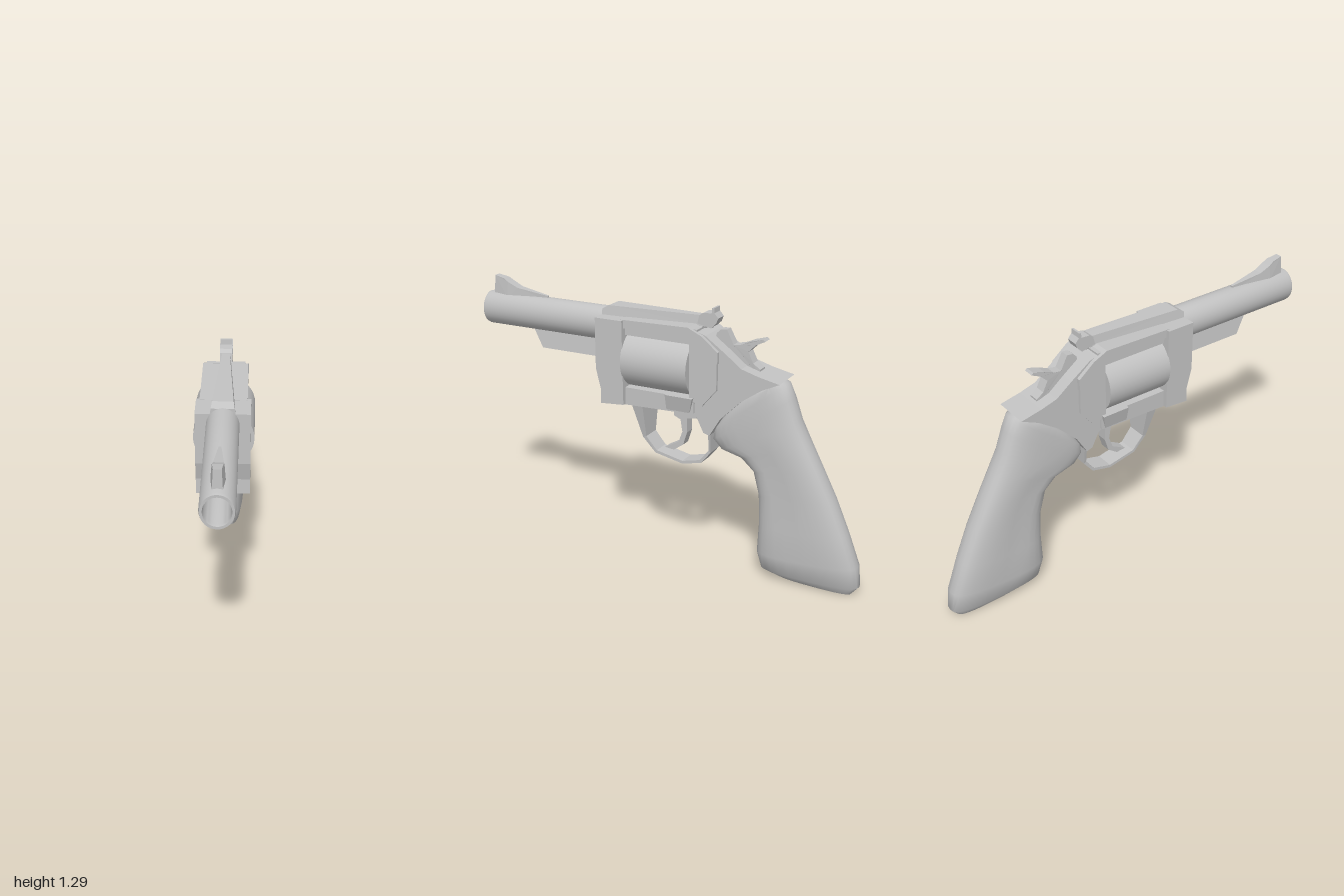
import * as THREE from 'three';
import { toCreasedNormals } from 'three/addons/utils/BufferGeometryUtils.js';

export function createModel() {
  const model = new THREE.Group();
  const steel = new THREE.MeshStandardMaterial({ color: 0xc2c2c2 });
  steel.name = 'light grey';

  const add = (name, geometry) => {
    const mesh = new THREE.Mesh(geometry, steel);
    mesh.name = name;
    model.add(mesh);
    return mesh;
  };

  // Side outline of [z, y] points, spread across x; width may vary with z and y
  const slab = (name, points, halfWidth) => {
    const shape = new THREE.Shape(points.map(([z, y]) => new THREE.Vector2(z, y)));
    const g = new THREE.ExtrudeGeometry(shape, { depth: 2, bevelEnabled: false });
    g.translate(0, 0, -1).rotateY(-Math.PI / 2);
    const p = g.attributes.position;
    for (let i = 0; i < p.count; i++) {
      const w = typeof halfWidth === 'function' ? halfWidth(p.getZ(i), p.getY(i)) : halfWidth;
      p.setX(i, Math.sign(p.getX(i)) * w);
    }
    g.computeVertexNormals();
    return add(name, g);
  };
  const mix = (v, a, b, wa, wb) =>
    THREE.MathUtils.lerp(wa, wb, THREE.MathUtils.clamp((v - a) / (b - a), 0, 1));

  // Hollow barrel, slightly taller than wide
  const barrel = new THREE.LatheGeometry([
    [0.083, 0.3], [0.083, 0.985], [0.079, 0.998], [0.067, 0.998], [0.064, 0.985], [0.06, 0.5], [0, 0.5],
  ].map(([r, z]) => new THREE.Vector2(r, z)), 32);
  barrel.rotateX(Math.PI / 2).scale(0.88, 1, 1).translate(0, 1.134, 0);
  add('barrel', toCreasedNormals(barrel, 0.6));

  slab('barrelUnderlug', [[0.3, 1.07], [0.3, 0.97], [0.675, 0.97], [0.725, 1.05], [0.725, 1.07]],
    (z, y) => mix(y, 0.97, 1.07, 0.035, 0.022));
  slab('frontSight', [[0.96, 1.2], [0.955, 1.3], [0.9, 1.29], [0.875, 1.275], [0.82, 1.25], [0.655, 1.225], [0.655, 1.2], [0.88, 1.2]],
    (z, y) => (z < 0.88 ? mix(z, 0.655, 0.88, 0.006, 0.031) : mix(z, 0.88, 0.96, 0.031, 0.022)) * mix(y, 1.21, 1.3, 1, 0.75));

  // Frame around the drum
  slab('frameFront', [[0.318, 1.188], [0.318, 0.94], [0.293, 0.845], [0.295, 0.77], [0.17, 0.78], [0.175, 1.188]], 0.122);
  slab('frameBottom', [[0.2, 0.775], [0.2, 0.862], [-0.19, 0.862], [-0.19, 0.79], [-0.17, 0.785]], 0.1);
  slab('frameTop', [[0.2, 1.188], [0.2, 1.115], [-0.2, 1.115], [-0.2, 1.188]], 0.09);
  slab('frameRib', [
    [0.19, 1.19], [-0.16, 1.197], [-0.23, 1.165], [-0.31, 1.1], [-0.31, 1.045], [-0.25, 1.105], [-0.16, 1.155], [0.19, 1.15],
  ], 0.106);
  slab('recoilShield', [[-0.167, 1.17], [-0.167, 0.86], [-0.23, 0.83], [-0.305, 0.92], [-0.305, 1.06]], 0.102);
  slab('frameRear', [
    [-0.16, 1.19], [-0.165, 0.79], [-0.2, 0.77], [-0.235, 0.7], [-0.265, 0.69], [-0.32, 0.78], [-0.42, 0.88], [-0.52, 0.95],
    [-0.605, 0.99], [-0.5, 1.012], [-0.42, 1.035], [-0.34, 1.095], [-0.24, 1.165],
  ], 0.087);

  // Sloping catches under the drum on each side
  slab('lowerCatch', [[-0.05, 0.865], [-0.05, 0.79], [-0.17, 0.79], [-0.19, 0.865]],
    (z, y) => mix(y, 0.79, 0.865, 0.102, 0.12));

  // Rotating drum
  const drum = new THREE.CylinderGeometry(0.139, 0.139, 0.342, 36);
  drum.rotateX(Math.PI / 2).translate(0, 0.99, 0.005);
  add('drum', drum);

  // Tapered sighting rib and rear sight
  slab('topStrap', [[0.318, 1.18], [0.318, 1.215], [0.285, 1.234], [-0.19, 1.238], [-0.25, 1.19], [-0.2, 1.18]],
    (z, y) => mix(z, -0.19, 0.318, 0.02, 0.057) * mix(y, 1.19, 1.235, 1, 0.85));
  slab('rearSight', [
    [-0.17, 1.2], [-0.18, 1.24], [-0.2, 1.253], [-0.242, 1.255], [-0.244, 1.28], [-0.254, 1.28], [-0.256, 1.258],
    [-0.275, 1.235], [-0.265, 1.21], [-0.24, 1.185],
  ], 0.029);

  // Hammer with a curved spur
  slab('hammer', [
    [-0.25, 1.1], [-0.265, 1.165], [-0.285, 1.185], [-0.315, 1.188], [-0.35, 1.122], [-0.39, 1.128], [-0.44, 1.15],
    [-0.495, 1.166], [-0.505, 1.157], [-0.46, 1.135], [-0.425, 1.1], [-0.45, 1.05], [-0.485, 1.025], [-0.485, 0.99], [-0.3, 0.98],
  ], z => mix(z, -0.44, -0.3, 0.026, 0.02));

  // Trigger and its guard
  slab('trigger', [
    [-0.05, 0.8], [-0.05, 0.735], [-0.085, 0.72], [-0.095, 0.66], [-0.075, 0.605], [-0.002, 0.565], [-0.05, 0.56],
    [-0.1, 0.595], [-0.12, 0.66], [-0.12, 0.73], [-0.17, 0.74], [-0.18, 0.8],
  ], 0.026);
  slab('triggerGuard', [
    [0.15, 0.785], [0.107, 0.605], [0.04, 0.535], [-0.105, 0.505], [-0.205, 0.528], [-0.255, 0.59], [-0.262, 0.7],
    [-0.25, 0.7], [-0.243, 0.597], [-0.198, 0.541], [-0.105, 0.519], [0.033, 0.548], [0.088, 0.612], [0.09, 0.785],
  ], (z, y) => mix(y, 0.6, 0.78, 0.045, 0.083));

  // Grip: rounded sections between front and back points [zFront, yFront, zBack, yBack, halfWidth]
  const sections = [
    [-0.4, 0.87, -0.53, 0.96, 0.072], [-0.32, 0.79, -0.585, 0.99, 0.08], [-0.265, 0.71, -0.615, 0.975, 0.083],
    [-0.258, 0.655, -0.645, 0.91, 0.083], [-0.3, 0.612, -0.68, 0.81, 0.082], [-0.4, 0.59, -0.73, 0.71, 0.081],
    [-0.465, 0.535, -0.785, 0.605, 0.08], [-0.495, 0.42, -0.86, 0.46, 0.08], [-0.5, 0.27, -0.93, 0.3, 0.081],
    [-0.493, 0.13, -0.988, 0.15, 0.08], [-0.515, 0.05, -1, 0.05, 0.066], [-0.6, 0.02, -0.965, 0.008, 0.038],
  ];
  const sides = 28;
  const verts = [];
  const faces = [];
  const soft = (v, e) => Math.sign(v) * Math.abs(v) ** e;
  sections.forEach(([zf, yf, zb, yb, w], row) => {
    const dent = row > 4 && row < 9 ? 0.1 : 0;
    for (let i = 0; i < sides; i++) {
      const a = (i / sides) * Math.PI * 2;
      const t = 0.5 - 0.5 * soft(Math.cos(a), 0.75);
      const hollow = 1 - dent * Math.exp(-(((t - 0.35) / 0.15) ** 2));
      verts.push(w * soft(Math.sin(a), 0.65) * hollow, yf + (yb - yf) * t, zf + (zb - zf) * t);
    }
  });
  const last = sections.length - 1;
  for (let r = 0; r < last; r++) {
    for (let i = 0; i < sides; i++) {
      const a = r * sides + i, b = r * sides + (i + 1) % sides;
      faces.push(a, a + sides, b, b, a + sides, b + sides);
    }
  }
  // End caps
  for (let i = 1; i < sides - 1; i++) {
    faces.push(0, i, i + 1);
    faces.push(last * sides, last * sides + i + 1, last * sides + i);
  }
  const grip = new THREE.BufferGeometry();
  grip.setAttribute('position', new THREE.Float32BufferAttribute(verts, 3));
  grip.setIndex(faces);
  add('grip', toCreasedNormals(grip, 0.9));

  return model;
}
